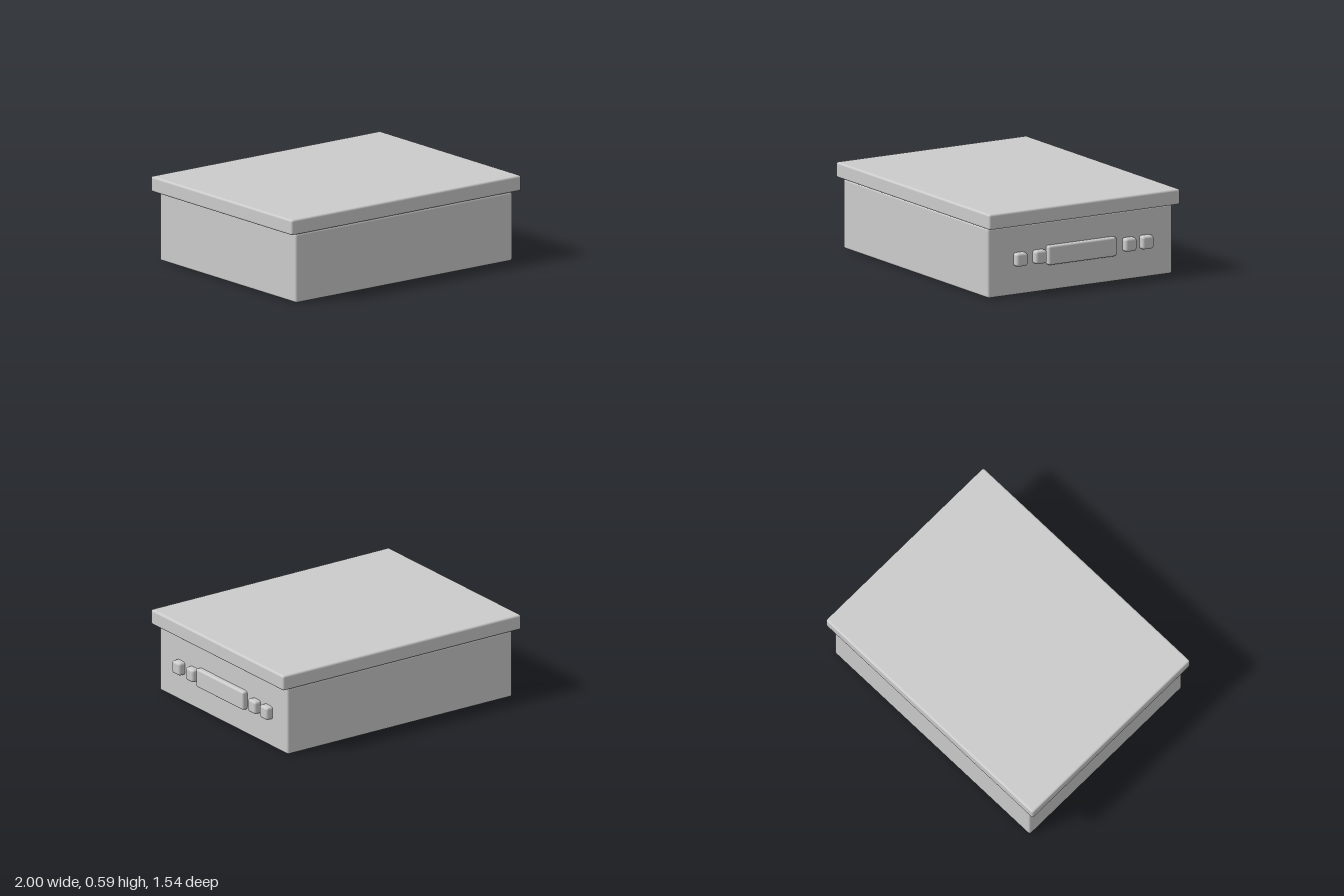
import * as THREE from 'three';
import { RoundedBoxGeometry } from 'three/addons/geometries/RoundedBoxGeometry.js';

export function createModel() {
  const model = new THREE.Group();
  model.name = 'liddedBox';
  const grey = new THREE.MeshStandardMaterial({ color: 0xcccccc });
  grey.name = 'plain grey';

  // The whole box is very slightly skewed in plan
  const skew = new THREE.Matrix4().set(
    1, 0, 0.0196, 0,
    0, 1, 0, 0,
    -0.0076, 0, 1, 0,
    0, 0, 0, 1
  );

  // Rounded box given by its [min, max] range on each axis
  function addBox(name, [x0, x1], [y0, y1], [z0, z1], radius) {
    const geometry = new RoundedBoxGeometry(x1 - x0, y1 - y0, z1 - z0, 3, radius);
    geometry.translate((x0 + x1) / 2, (y0 + y1) / 2, (z0 + z1) / 2);
    geometry.applyMatrix4(skew);
    const mesh = new THREE.Mesh(geometry, grey);
    mesh.name = name;
    model.add(mesh);
  }

  // Main box and overhanging lid
  addBox('body', [-0.93, 0.925], [0, 0.48], [-0.735, 0.738], 0.015);
  addBox('lid', [-0.985, 0.982], [0.483, 0.59], [-0.763, 0.763], 0.015);

  // Long grip plate on the left side
  addBox('sidePlate', [0.9, 0.962], [0.18, 0.312], [-0.27, 0.274], 0.014);

  // Small square studs on either side of the plate
  [0.49, 0.337, -0.38, -0.516].forEach((z, i) => {
    addBox('stud' + (i + 1), [0.885, 0.973], [0.2, 0.292], [z - 0.045, z + 0.045], 0.018);
  });

  return model;
}
